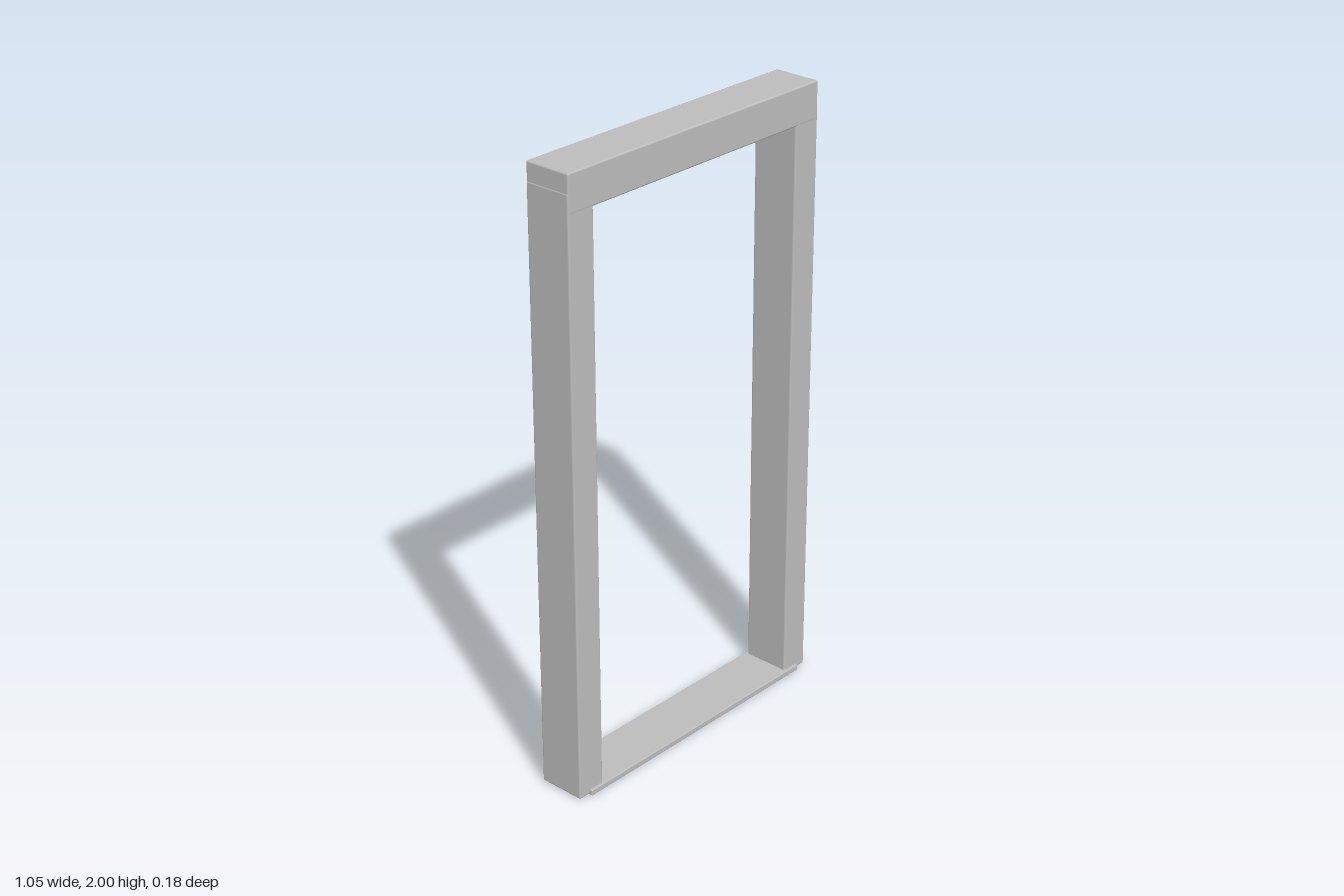
import * as THREE from 'three';
import { RoundedBoxGeometry } from 'three/addons/geometries/RoundedBoxGeometry.js';

export function createModel() {
  const group = new THREE.Group();
  const grey = new THREE.MeshStandardMaterial({ color: 0xbcbcbc });
  grey.name = 'grey';

  // Softly bevelled block given by its x and y limits and half depth
  function block(name, x0, x1, y0, y1, halfDepth, bevel = 0.006) {
    const geometry = new RoundedBoxGeometry(x1 - x0, y1 - y0, halfDepth * 2, 2, bevel);
    const mesh = new THREE.Mesh(geometry, grey);
    mesh.name = name;
    mesh.position.set((x0 + x1) / 2, (y0 + y1) / 2, 0);
    group.add(mesh);
  }

  // Upright posts, tucked halfway into the lintel
  block('leftPost', 0.428, 0.527, 0.004, 1.942, 0.0785);
  block('rightPost', -0.527, -0.428, 0.004, 1.942, 0.0785);

  // Lintel across the top
  block('lintel', -0.5255, 0.5255, 1.88, 2, 0.079);

  // Thin threshold, deeper than the posts
  block('threshold', -0.485, 0.485, 0, 0.02, 0.088, 0.004);

  return group;
}
